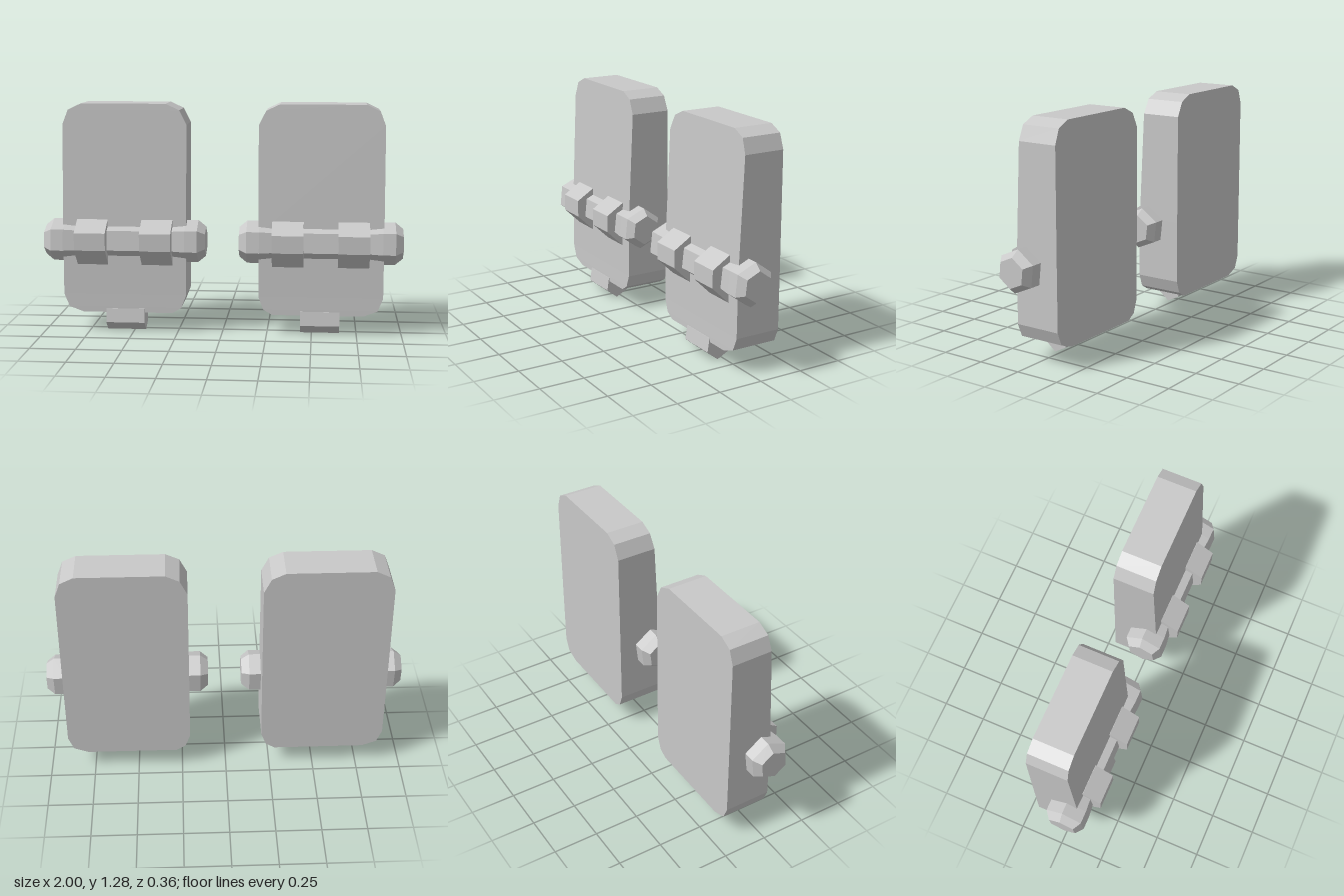
import * as THREE from 'three';

const grey = new THREE.MeshStandardMaterial({ color: 0xc8c8c8 });
grey.name = 'plain grey';

// Skin a row of convex rings (counter-clockwise about the loft direction), with flat faces and closed ends.
function loft(rings) {
  const pos = [];
  const tri = (a, b, c) => pos.push(...a, ...b, ...c);
  const n = rings[0].length;
  for (let i = 0; i < rings.length - 1; i++) {
    for (let j = 0; j < n; j++) {
      const k = (j + 1) % n;
      const [a, b, c, d] = [rings[i][j], rings[i][k], rings[i + 1][k], rings[i + 1][j]];
      tri(a, b, c);
      tri(a, c, d);
    }
  }
  const first = rings[0], last = rings[rings.length - 1];
  for (let j = 1; j < n - 1; j++) {
    tri(first[0], first[j + 1], first[j]);
    tri(last[0], last[j], last[j + 1]);
  }
  const geo = new THREE.BufferGeometry();
  geo.setAttribute('position', new THREE.Float32BufferAttribute(pos, 3));
  geo.computeVertexNormals();
  return geo;
}

// Prism along x from a [y, z] profile.
const prism = (profile, x0, x1) => loft([x0, x1].map(x => profile.map(([y, z]) => [x, y, z])));

// Plate rows: y, inner x, outer x, front z
const plateRows = [
  [0.108, 0.28, 0.785, 0.083],
  [0.138, 0.23, 0.865, 0.083],
  [0.21, 0.203, 0.895, 0.082],
  [0.56, 0.201, 0.895, 0.079],
  [1.165, 0.2, 0.893, 0.051],
  [1.245, 0.24, 0.863, 0.047],
  [1.28, 0.315, 0.79, 0.045],
];
const plateBack = -0.178;

// Rod rings: offset along x, radius
const rodRings = [
  [-0.453, 0.083], [-0.41, 0.118], [-0.34, 0.118], [-0.27, 0.11],
  [0.27, 0.11], [0.34, 0.118], [0.41, 0.118], [0.453, 0.083],
];

const claspProfile = [[0.636, 0.077], [0.572, 0.179], [0.475, 0.179], [0.38, 0.08], [0.38, 0], [0.636, 0]];
const tabProfile = [[0.13, 0.086], [0.052, 0.098], [0, 0.034], [0.035, -0.037], [0.125, -0.05]];

function createPad(side) {
  const pad = new THREE.Group();
  pad.name = side > 0 ? 'leftPad' : 'rightPad';
  const add = (name, geo) => {
    const mesh = new THREE.Mesh(geo, grey);
    mesh.name = name;
    pad.add(mesh);
  };
  const span = (a, b) => (side > 0 ? [a, b] : [-b, -a]);

  // Slab with clipped corners and a leaning front
  add('plate', loft(plateRows.map(([y, inner, outer, front]) => {
    const [x0, x1] = span(inner, outer);
    return [[x0, y, front], [x1, y, front], [x1, y, plateBack], [x0, y, plateBack]];
  })));

  // Six-sided rod with bevelled ends
  add('rod', loft(rodRings.map(([dx, r]) => Array.from({ length: 6 }, (_, i) => {
    const a = (i * Math.PI) / 3 - 0.11;
    return [side * 0.547 + dx, 0.513 + r * Math.cos(a), 0.031 + r * Math.sin(a)];
  }))));

  // Clasps holding the rod
  add('innerClasp', prism(claspProfile, ...span(0.278, 0.452)));
  add('outerClasp', prism(claspProfile, ...span(0.642, 0.815)));

  // Tab under the plate
  add('bottomTab', prism(tabProfile, ...span(0.437, 0.655)));
  return pad;
}

export function createModel() {
  const model = new THREE.Group();
  model.name = 'pairOfPads';
  for (const side of [1, -1]) model.add(createPad(side));
  return model;
}
